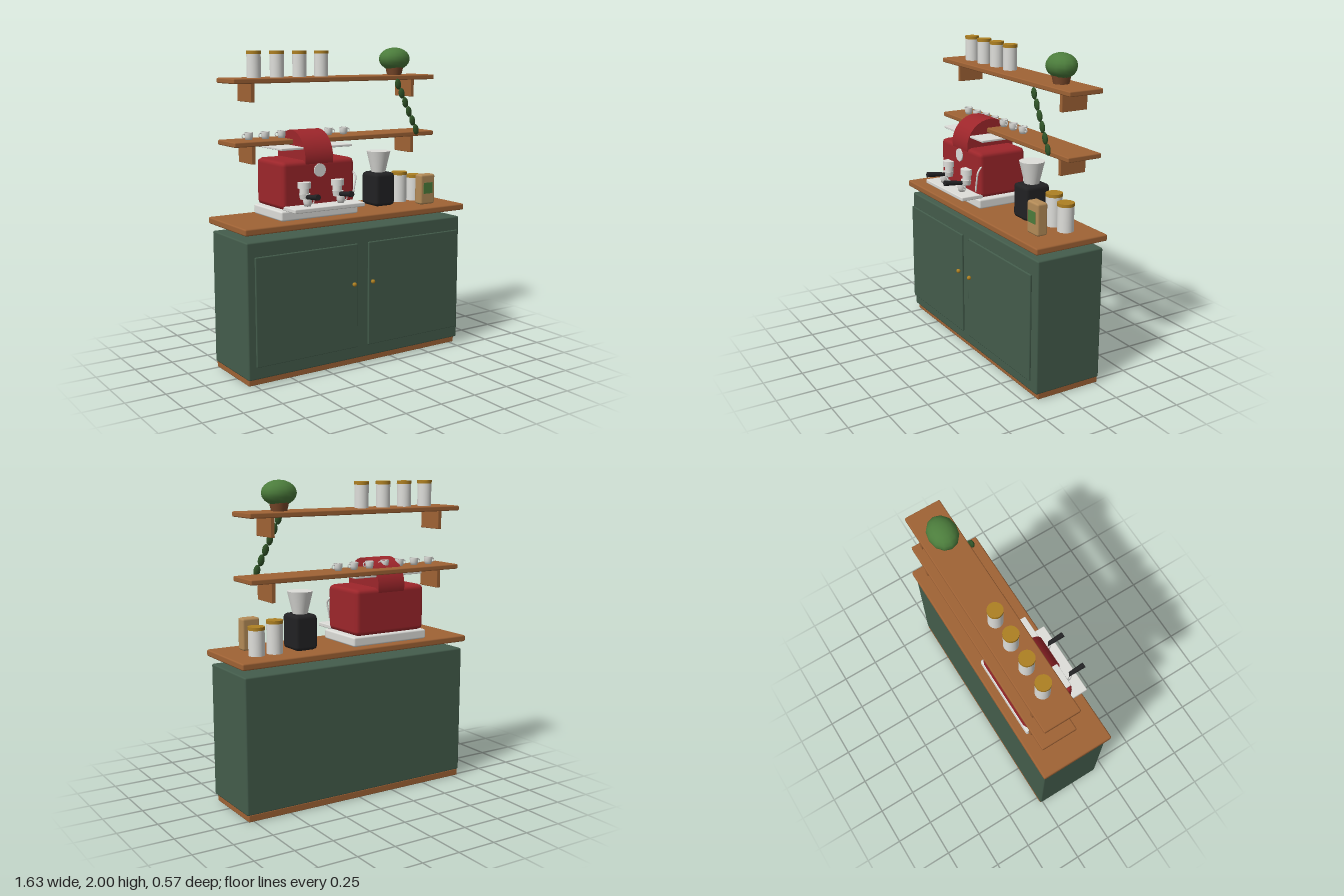
import * as THREE from 'three';
import { RoundedBoxGeometry } from 'three/addons/geometries/RoundedBoxGeometry.js';

const mat = (name, color, side = THREE.FrontSide) => {
  const m = new THREE.MeshStandardMaterial({ color, side });
  m.name = name;
  return m;
};

export function createModel() {
  const wood = mat('wood', 0xa06335);
  const paint = mat('cabinet green', 0x445d4c);
  const red = mat('machine red', 0x9e262b);
  const white = mat('pale metal and china', 0xdededa, THREE.DoubleSide);
  const black = mat('black', 0x222224);
  const gold = mat('brass', 0xae8022);
  const leaf = mat('leaf green', 0x4c7d3c);
  const vineGreen = mat('vine green', 0x305428);
  const paper = mat('kraft paper', 0xb58c58);
  const clay = mat('clay', 0x7d4a2b);

  const root = new THREE.Group();
  root.name = 'coffeeBar';
  const group = (name, parent = root) => {
    const g = new THREE.Group();
    g.name = name;
    parent.add(g);
    return g;
  };
  const add = (parent, name, geo, material, x = 0, y = 0, z = 0) => {
    const m = new THREE.Mesh(geo, material);
    m.name = name;
    m.position.set(x, y, z);
    parent.add(m);
    return m;
  };
  // Box given by its limits, with bevelled edges of size r
  const box = (parent, name, material, [x0, x1], [y0, y1], [z0, z1], r = 0) => {
    const s = [x1 - x0, y1 - y0, z1 - z0];
    const geo = r ? new RoundedBoxGeometry(...s, 1, r) : new THREE.BoxGeometry(...s);
    return add(parent, name, geo, material, (x0 + x1) / 2, (y0 + y1) / 2, (z0 + z1) / 2);
  };
  // Upright cylinder standing on y0
  const can = (parent, name, material, rTop, rBottom, x, y0, y1, z, sides = 20) =>
    add(parent, name, new THREE.CylinderGeometry(rTop, rBottom, y1 - y0, sides), material, x, (y0 + y1) / 2, z);

  // Cabinet
  const cabinet = group('cabinet');
  box(cabinet, 'plinth', wood, [-0.79, 0.785], [0.005, 0.05], [-0.269, 0.165], 0.006);
  box(cabinet, 'carcass', paint, [-0.8, 0.795], [0.045, 0.885], [-0.27, 0.185], 0.01);
  box(cabinet, 'counterTop', wood, [-0.82, 0.815], [0.93, 0.972], [-0.285, 0.21], 0.01);
  for (const s of [-1, 1]) {
    box(cabinet, 'door', paint, [s * 0.4 - 0.36, s * 0.4 + 0.36], [0.13, 0.8], [0.2, 0.216], 0.006);
    add(cabinet, 'knob', new THREE.SphereGeometry(0.014, 12, 8), gold, s * 0.07 - 0.003, 0.545, 0.225);
  }

  // Wall shelves with brackets
  for (const y of [1.415, 1.79]) {
    const shelf = group('shelf');
    box(shelf, 'board', wood, [-0.75, 0.745], [y, y + 0.031], [-0.272, -0.04], 0.007);
    for (const x of [-0.602, 0.597])
      box(shelf, 'bracket', wood, [x - 0.013, x + 0.013], [y - 0.113, y + 0.002], [-0.262, -0.085], 0.003);
  }

  // Storage jars
  const jar = (x, y0, y1, z, r) => {
    const g = group('jar');
    can(g, 'jarBody', white, r, r, x, y0, y1 - 0.018, z);
    can(g, 'jarLid', gold, r + 0.002, r + 0.002, x, y1 - 0.02, y1, z);
  };
  for (let i = 0; i < 4; i++) jar(-0.553 + i * 0.16, 1.82, 1.982, -0.16, 0.044);
  jar(0.513, 0.972, 1.175, -0.11, 0.05);
  jar(0.635, 0.972, 1.147, -0.11, 0.05);

  // Small cups
  const cupProfile = [[0, 0], [0.02, 0], [0.026, 0.02], [0.028, 0.046], [0.025, 0.046], [0.022, 0.012], [0, 0.008]]
    .map(([x, y]) => new THREE.Vector2(x, y));
  const cup = (parent, x, y, z, side) => {
    const g = group('cup', parent);
    add(g, 'cupBowl', new THREE.LatheGeometry(cupProfile, 16), white);
    add(g, 'cupHandle', new THREE.TorusGeometry(0.012, 0.0035, 6, 14), white, side * 0.034, 0.026, 0);
    g.position.set(x, y, z);
  };
  const cups = group('cupRow');
  for (let i = 0; i < 7; i++) cup(cups, -0.598 + i * 0.115, 1.445, -0.155, i < 3 ? -1 : 1);

  // Espresso machine
  const machine = group('espressoMachine');
  box(machine, 'base', white, [-0.53, 0.024], [0.972, 1.034], [-0.232, 0.12], 0.012);
  box(machine, 'dripTray', white, [-0.5, 0], [1.034, 1.06], [0.08, 0.232], 0.006);
  box(machine, 'body', red, [-0.512, 0.006], [1.034, 1.328], [-0.23, 0.106], 0.03);
  const dome = add(machine, 'boilerDome', new THREE.CylinderGeometry(0.17, 0.17, 0.198, 32), red, -0.253, 1.333, -0.064);
  dome.rotation.z = Math.PI / 2;
  box(machine, 'cupPlate', white, [-0.505, 0.002], [1.394, 1.408], [-0.21, 0.085], 0.003);
  const badge = add(machine, 'badge', new THREE.CylinderGeometry(0.041, 0.041, 0.012, 24), white, -0.253, 1.265, 0.108);
  badge.rotation.x = Math.PI / 2;
  for (const x of [-0.372, -0.134]) {
    const head = group('groupHead', machine);
    can(head, 'headCap', white, 0.041, 0.041, x, 1.165, 1.202, 0.122);
    can(head, 'headNeck', white, 0.03, 0.03, x, 1.125, 1.167, 0.122);
    can(head, 'filterBasket', white, 0.035, 0.028, x, 1.098, 1.132, 0.126);
    const handle = add(head, 'filterHandle', new THREE.CylinderGeometry(0.018, 0.013, 0.125, 12), black, x, 1.122, 0.222);
    handle.rotation.x = Math.PI / 2 - 0.12;
    cup(head, x, 1.06, 0.16, 1);
  }
  const wand = new THREE.CatmullRomCurve3([
    new THREE.Vector3(-0.005, 1.24, 0.09), new THREE.Vector3(0.003, 1.21, 0.118),
    new THREE.Vector3(-0.008, 1.15, 0.122), new THREE.Vector3(-0.022, 1.08, 0.122)]);
  add(machine, 'steamWand', new THREE.TubeGeometry(wand, 14, 0.006, 8), white);

  // Grinder
  const grinder = group('grinder');
  box(grinder, 'grinderBody', black, [0.24, 0.395], [0.972, 1.192], [-0.165, 0.01], 0.025);
  can(grinder, 'hopper', white, 0.079, 0.046, 0.318, 1.19, 1.33, -0.078, 24);

  // Coffee bag
  const bag = group('coffeeBag');
  box(bag, 'bagBody', paper, [0.538, 0.655], [0.972, 1.172], [0.028, 0.1], 0.014);
  box(bag, 'bagLabel', leaf, [0.56, 0.632], [1.045, 1.118], [0.098, 0.104]);

  // Potted plant
  const plant = group('pottedPlant');
  can(plant, 'pot', clay, 0.06, 0.048, 0.497, 1.82, 1.875, -0.155, 14);
  const foliage = add(plant, 'foliage', new THREE.SphereGeometry(1, 12, 10), leaf, 0.497, 1.925, -0.155);
  foliage.scale.set(0.109, 0.075, 0.089);

  // Trailing vine
  const vine = group('vine');
  for (let i = 0; i < 6; i++) {
    const v = add(vine, 'vineLeaf', new THREE.SphereGeometry(1, 10, 8), vineGreen, 0.426 + i * 0.03, 1.765 - i * 0.0605, -0.015);
    v.scale.set(0.023, 0.036, 0.013);
    v.rotation.z = 0.2;
  }
  return root;
}
